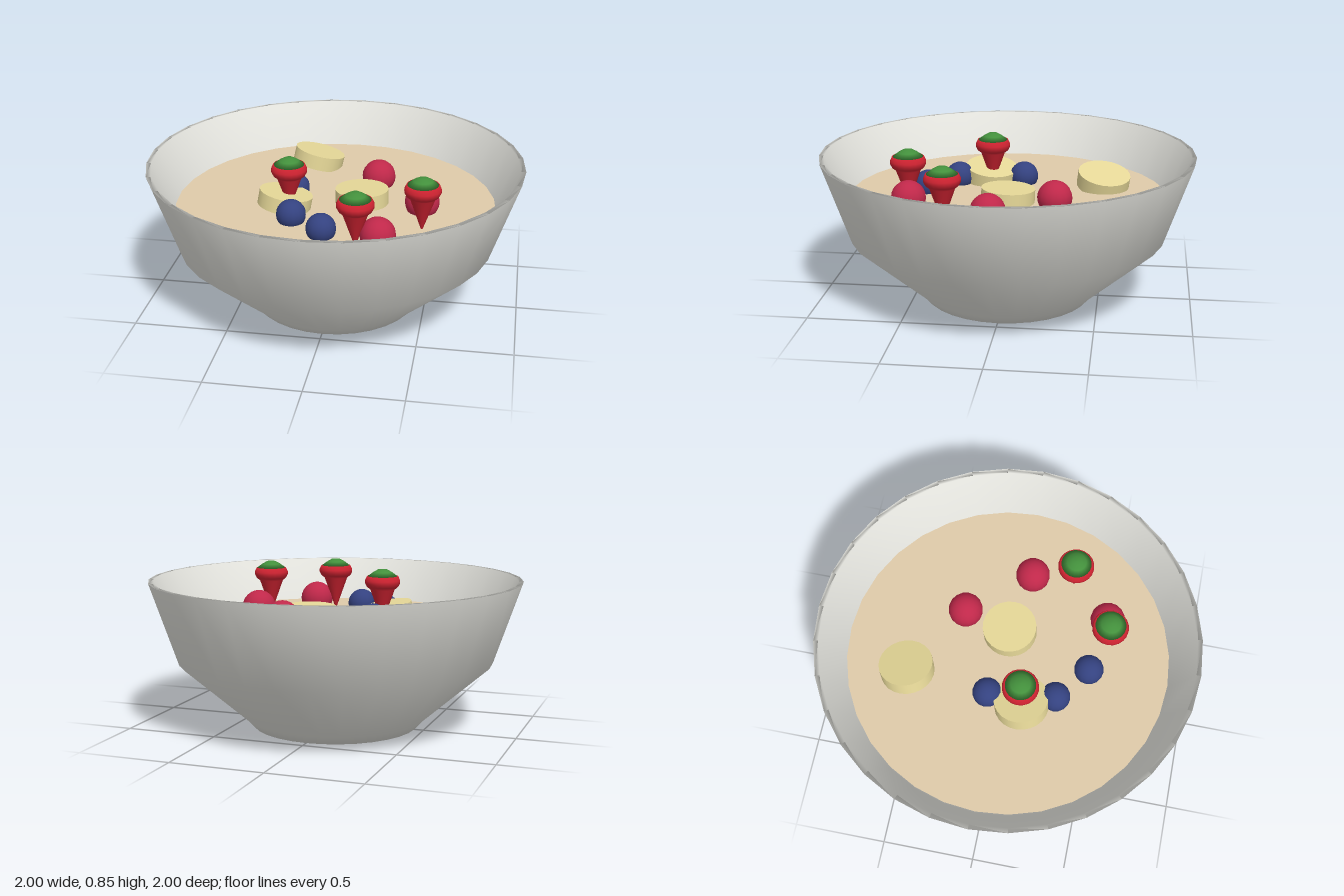
import * as THREE from 'three';

const paint = (name, color) => {
  const m = new THREE.MeshStandardMaterial({ color });
  m.name = name;
  return m;
};

export function createModel() {
  const ceramic = paint('ceramic', 0xe6e6e0);
  const oatmeal = paint('oatmeal', 0xdfcbaa);
  const bananaFlesh = paint('banana flesh', 0xe6d898);
  const raspberryRed = paint('raspberry red', 0xc0284a);
  const blueberryBlue = paint('blueberry blue', 0x344280);
  const strawberryRed = paint('strawberry red', 0xcc2230);
  const leafGreen = paint('leaf green', 0x43903c);

  const model = new THREE.Group();
  model.name = 'fruitPorridgeBowl';

  const add = (name, geometry, material, x, y, z, parent = model) => {
    const mesh = new THREE.Mesh(geometry, material);
    mesh.name = name;
    mesh.position.set(x, y, z);
    parent.add(mesh);
    return mesh;
  };
  const lathe = (points, segments) =>
    new THREE.LatheGeometry(points.map(([r, y]) => new THREE.Vector2(r, y)), segments);

  // Bowl: outer wall, thin rim and inner wall in one profile
  add('bowl', lathe([
    [0, 0], [0.45, 0], [0.49, 0.045], [0.85, 0.36], [1, 0.8],
    [0.975, 0.8], [0.86, 0.54], [0.8, 0.38], [0.42, 0.06], [0, 0.05],
  ], 32), ceramic, 0, 0, 0);

  // Porridge filling
  add('porridge', new THREE.CylinderGeometry(0.857, 0.81, 0.07, 32), oatmeal, 0, 0.531, 0);

  // Banana slices: x, y, z, tilt about x, tilt about z
  const slice = new THREE.CylinderGeometry(0.143, 0.143, 0.08, 24);
  [
    [-0.18, 0.612, -0.508, -0.13, -0.22],
    [0.14, 0.602, -0.018, -0.04, 0.02],
    [-0.252, 0.612, 0.12, -0.1, -0.17],
  ].forEach(([x, y, z, rx, rz]) => {
    add('bananaSlice', slice, bananaFlesh, x, y, z).rotation.set(rx, 0, rz);
  });

  // Round berries
  const raspberry = new THREE.SphereGeometry(0.092, 16, 12);
  [[0.2, -0.27], [0.47, 0.045], [0.29, 0.485]].forEach(([x, z]) =>
    add('raspberry', raspberry, raspberryRed, x, 0.615, z));
  const blueberry = new THREE.SphereGeometry(0.078, 16, 12);
  [[-0.232, -0.065], [-0.187, 0.29], [-0.005, 0.435]].forEach(([x, z]) =>
    add('blueberry', blueberry, blueberryBlue, x, 0.606, z));

  // Strawberries: pointed body with a wide shoulder, and a leafy cap
  const body = lathe([
    [0, 0.55], [0.066, 0.735], [0.085, 0.75], [0.095, 0.77], [0.095, 0.785], [0.084, 0.808], [0, 0.809],
  ], 20);
  const cap = lathe([[0, 0.795], [0.084, 0.805], [0.05, 0.83], [0.025, 0.844], [0, 0.845]], 20);
  [[-0.23, 0.11], [0.49, 0.27], [0.18, 0.505]].forEach(([x, z]) => {
    const strawberry = new THREE.Group();
    strawberry.name = 'strawberry';
    strawberry.position.set(x, 0, z);
    add('strawberryBody', body, strawberryRed, 0, 0, 0, strawberry);
    add('strawberryCap', cap, leafGreen, 0, 0, 0, strawberry);
    model.add(strawberry);
  });

  return model;
}
